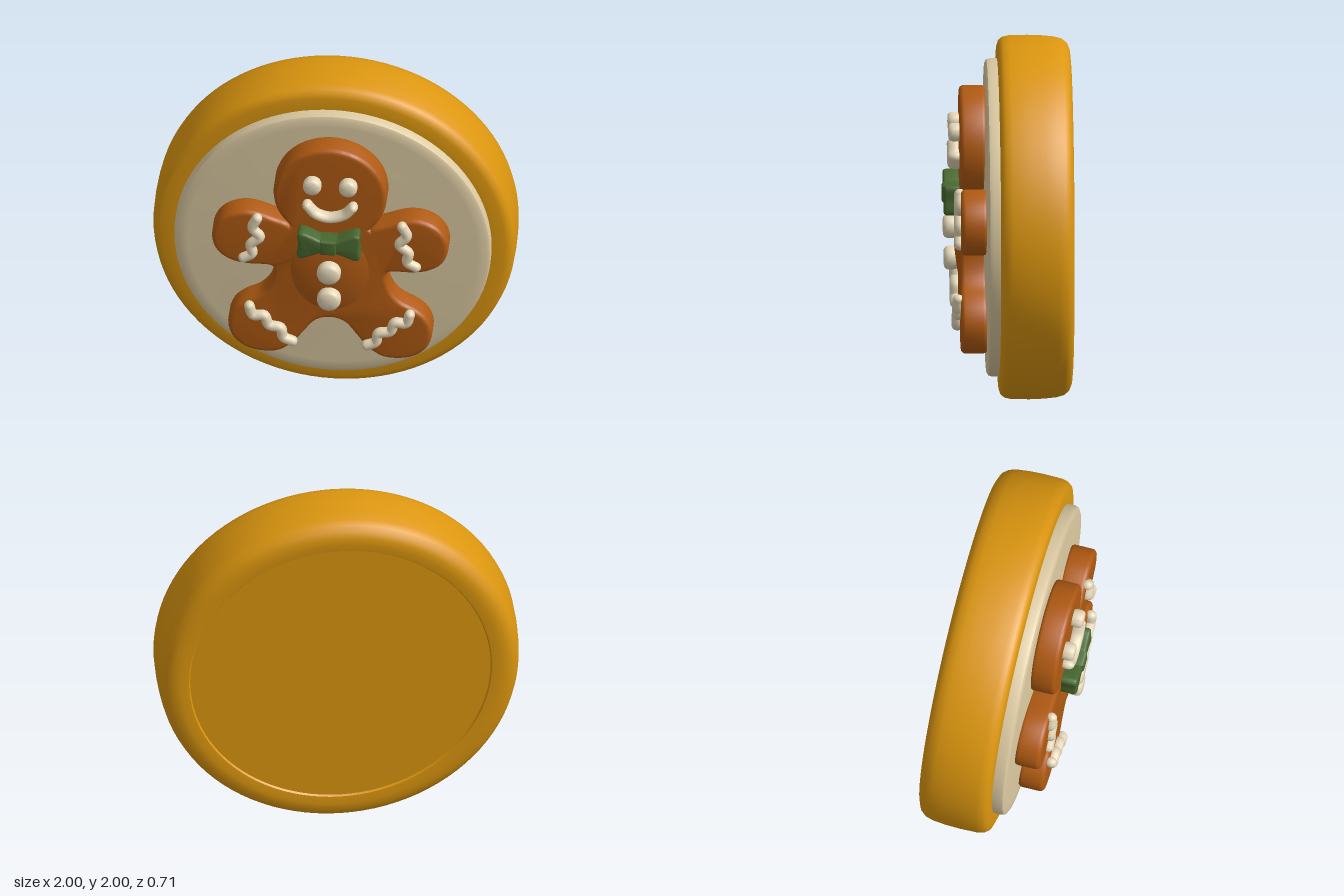
import * as THREE from 'three';
import { toCreasedNormals } from 'three/addons/utils/BufferGeometryUtils.js';

const mat = (name, color) => new THREE.MeshStandardMaterial({ name, color });
const CY = 1; // height of the disc centre

export function createModel() {
  const gold = mat('goldenCrust', 0xdc960f);
  const cream = mat('creamFrosting', 0xdccaa2);
  const piping = mat('pipedIcing', 0xe4d6b8);
  const brown = mat('gingerbread', 0xb05a12);
  const green = mat('greenBow', 0x47682f);

  const root = new THREE.Group();
  root.name = 'gingerbreadTart';

  const add = (name, geometry, material, x = 0, y = 0, z = 0, parent = root) => {
    const mesh = new THREE.Mesh(geometry, material);
    mesh.name = name;
    mesh.position.set(x, y, z);
    parent.add(mesh);
    return mesh;
  };

  // Turned solid whose axis points to the front; profile is [radius, z]
  const turned = (profile, segments, crease = 0.7) => {
    const pts = profile.map(([r, z]) => new THREE.Vector2(r, z));
    const g = new THREE.LatheGeometry(pts, segments).rotateX(Math.PI / 2);
    return toCreasedNormals(g, crease);
  };

  // Bevelled slab from an outline, lying between z0 and z1
  const slab = (points, z0, z1, bevel) => {
    const g = new THREE.ExtrudeGeometry(new THREE.Shape(points), {
      depth: z1 - z0 - 2 * bevel, bevelEnabled: true, bevelThickness: bevel,
      bevelSize: bevel, bevelOffset: -bevel, bevelSegments: 4, curveSegments: 12,
    });
    return toCreasedNormals(g.translate(0, 0, z0 + bevel), 0.7);
  };

  // Smooth closed outline from its right half, listed from top to bottom
  const mirroredOutline = (half, samples) => {
    const left = half.slice(1, -1).reverse().map(([x, y]) => [-x, y]);
    const pts = [...half, ...left].map(([x, y]) => new THREE.Vector3(x, y, 0));
    return new THREE.CatmullRomCurve3(pts, true).getPoints(samples)
      .slice(0, -1).map((p) => new THREE.Vector2(p.x, p.y));
  };

  // Crust disc with rounded rim and a shallow recess in the back
  add('crust', turned([
    [0, -0.343], [0.828, -0.343], [0.835, -0.353], [0.88, -0.358], [0.92, -0.354],
    [0.955, -0.34], [0.978, -0.312], [0.99, -0.27], [0.997, -0.2], [1, -0.12],
    [0.998, -0.02], [0.99, 0.015], [0.973, 0.036], [0.945, 0.045], [0.86, 0.045], [0, 0.045],
  ], 96), gold, 0, CY);

  // Frosting layer, slightly domed
  add('frosting', turned([
    [0.872, 0.03], [0.873, 0.085], [0.867, 0.103], [0.85, 0.112], [0.8, 0.113],
    [0.6, 0.12], [0.3, 0.128], [0, 0.13],
  ], 96), cream, 0, CY);

  // Gingerbread figure
  const half = [];
  for (let a = 90; a >= -45; a -= 15) {
    const t = THREE.MathUtils.degToRad(a);
    half.push([0.312 * Math.cos(t), 1.435 + 0.312 * Math.sin(t)]);
  }
  half[0][0] = 0;
  half.push(
    [0.235, 1.226], [0.31, 1.255], [0.42, 1.293], [0.5, 1.293], [0.59, 1.25], [0.643, 1.17],
    [0.648, 1.08], [0.61, 1.0], [0.53, 0.95], [0.44, 0.936], [0.335, 0.935], [0.315, 0.923],
    [0.312, 0.88], [0.34, 0.79], [0.39, 0.73], [0.47, 0.685], [0.53, 0.63], [0.562, 0.54],
    [0.54, 0.44], [0.47, 0.37], [0.38, 0.345], [0.28, 0.355], [0.2, 0.42], [0.14, 0.5],
    [0.08, 0.575], [0, 0.6],
  );
  add('gingerbreadBody', slab(mirroredOutline(half, 220), 0.11, 0.257, 0.025), brown);

  // Soft swelling of the belly and chest
  const belly = new THREE.SphereGeometry(1, 40, 24).scale(0.27, 0.33, 0.075);
  add('belly', belly, brown, 0, 0.93, 0.212);

  // Round icing drops for eyes and buttons
  const drop = (name, x, y, z, r, h) => add(name, turned([
    [r * 0.9, 0], [r, h * 0.3], [r, h * 0.65], [r * 0.92, h * 0.85], [r * 0.72, h * 0.97], [0, h],
  ], 28, 1), piping, x, y, z);
  drop('leftEye', 0.104, 1.525, 0.25, 0.051, 0.07);
  drop('rightEye', -0.094, 1.525, 0.25, 0.051, 0.07);
  drop('upperButton', 0, 0.952, 0.27, 0.066, 0.078);
  drop('lowerButton', 0, 0.77, 0.265, 0.066, 0.078);

  // Piped line of icing with rounded ends
  const pipe = (name, points, radius, z, depth) => {
    const group = new THREE.Group();
    group.name = name;
    group.position.z = z;
    const curve = new THREE.CatmullRomCurve3(points.map(([x, y]) => new THREE.Vector3(x, y, 0)));
    add(name + 'Line', new THREE.TubeGeometry(curve, 48, radius, 14).scale(1, 1, depth), piping, 0, 0, 0, group);
    for (const [x, y] of [points[0], points[points.length - 1]]) {
      add(name + 'End', new THREE.SphereGeometry(radius, 14, 10).scale(1, 1, depth), piping, x, y, 0, group);
    }
    root.add(group);
  };

  pipe('smile', [[-0.122, 1.39], [-0.075, 1.336], [0, 1.313], [0.08, 1.336], [0.13, 1.39]], 0.028, 0.28, 1.5);

  // Wavy cuffs on both arms and legs
  const armWave = [[0.4, 1.262], [0.425, 1.2], [0.385, 1.14], [0.435, 1.085], [0.427, 1.025], [0.475, 0.992]];
  const legWave = [[0.442, 0.667], [0.422, 0.61], [0.36, 0.608], [0.335, 0.548], [0.27, 0.53], [0.255, 0.47], [0.205, 0.445]];
  for (const [side, s] of [['left', 1], ['right', -1]]) {
    const flip = (pts) => pts.map(([x, y]) => [s * x, y]);
    pipe(side + 'ArmIcing', flip(armWave), 0.029, 0.262, 1.1);
    pipe(side + 'LegIcing', flip(legWave), 0.029, 0.27, 1.15);
  }

  // Bow tie with a raised knot
  const bowHalf = [
    [0, 1.186], [0.04, 1.186], [0.09, 1.21], [0.15, 1.232], [0.17, 1.222], [0.168, 1.15],
    [0.174, 1.08], [0.155, 1.062], [0.1, 1.08], [0.04, 1.104], [0, 1.104],
  ];
  add('bowTie', slab(mirroredOutline(bowHalf, 80), 0.24, 0.345, 0.016), green);
  const knot = [[-0.045, 1.098], [0.045, 1.098], [0.045, 1.192], [-0.045, 1.192]];
  add('bowKnot', slab(knot.map(([x, y]) => new THREE.Vector2(x, y)), 0.24, 0.354, 0.018), green);

  return root;
}
